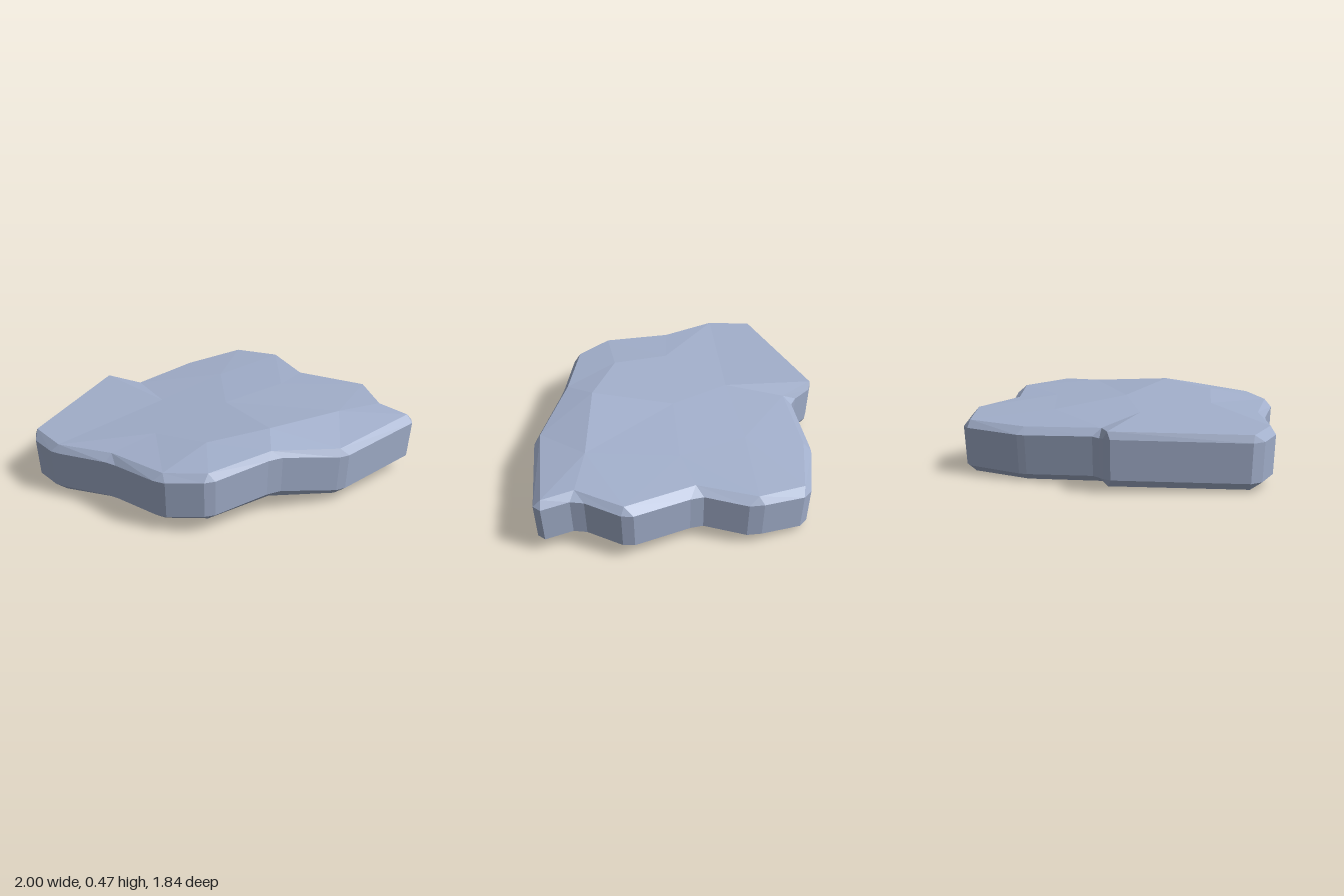
import * as THREE from 'three';

// Each corner of the slab: top inset x, z, height, then the two outer points x, z, x, z
const corners = [
  [-0.93, -0.64, 0.325, -0.93, -0.66, -0.98, -0.59],
  [-0.96, -0.37, 0.335, -1.0, -0.4, -0.98, -0.34],
  [-0.81, -0.04, 0.355, -0.86, -0.04, -0.84, 0.03],
  [-0.76, 0.37, 0.375, -0.81, 0.34, -0.78, 0.41],
  [-0.59, 0.57, 0.39, -0.63, 0.58, -0.57, 0.61],
  [-0.18, 0.67, 0.42, -0.22, 0.69, -0.13, 0.72],
  [0.22, 0.86, 0.36, 0.2, 0.88, 0.26, 0.9],
  [0.84, 0.875, 0.375, 0.84, 0.92, 0.88, 0.88],
  [0.8, 0.68, 0.395, 0.85, 0.71, 0.87, 0.63],
  [0.96, 0.41, 0.38, 0.99, 0.43, 1.0, 0.36],
  [0.81, -0.02, 0.365, 0.88, 0.02, 0.87, -0.06],
  [0.93, -0.37, 0.345, 0.96, -0.31, 0.96, -0.4],
  [0.84, -0.66, 0.315, 0.89, -0.65, 0.84, -0.7],
  [0.44, -0.74, 0.31, 0.47, -0.785, 0.42, -0.785],
  [-0.04, -0.71, 0.325, 0.0, -0.76, -0.06, -0.8],
  [-0.15, -0.91, 0.345, -0.12, -0.9, -0.17, -0.92],
];

// Inner points of the gently folded faces (x, z, height), and the highest central one
const inner = [
  [-0.15, -0.35, 0.365], [-0.5, 0.0, 0.39], [-0.4, 0.35, 0.43], [-0.04, 0.52, 0.46],
  [0.5, 0.6, 0.415], [0.56, 0.04, 0.385], [0.4, -0.38, 0.36],
];
const centre = [0.07, 0.02, 0.41];
// Inner point that each outline edge connects to
const apex = [0, 1, 1, 2, 2, 3, 4, 4, 4, 5, 5, 6, 6, 6, 0, 0];

const point = ([x, z, y], drop = 0, scale = 1) => [x * scale, y - drop, z * scale];

function geometryFrom(triangles) {
  const geometry = new THREE.BufferGeometry();
  geometry.setAttribute('position', new THREE.Float32BufferAttribute(triangles.flat(2), 3));
  geometry.computeVertexNormals();
  return geometry;
}

// Folded face joining the outline to the inner points
function face(drop, scale, flip) {
  const n = corners.length;
  const triangles = [];
  const add = (a, b, c) => {
    const [p, q, r] = [a, b, c].map((v) => point(v, drop, scale));
    triangles.push(flip ? [p, r, q] : [p, q, r]);
  };
  for (let i = 0; i < n; i++) {
    const j = (i + 1) % n;
    add(corners[i], corners[j], inner[apex[i]]);
    if (apex[i] !== apex[j]) add(corners[j], inner[apex[j]], inner[apex[i]]);
  }
  inner.forEach((p, i) => add(centre, p, inner[(i + 1) % inner.length]));
  return geometryFrom(triangles);
}

// Rings hold two points per corner, so the vertical edges are chamfered
const insetRing = (drop, scale) =>
  corners.flatMap((c) => [point(c, drop, scale), point(c, drop, scale)]);
const outerRing = (drop, scale) =>
  corners.flatMap(([, , y, ax, az, bx, bz]) => [
    point([ax, az, y], drop, scale), point([bx, bz, y], drop, scale),
  ]);

// Strip of faces between an upper and a lower ring
function band(upper, lower) {
  const triangles = [];
  const same = (a, b) => a.every((v, k) => v === b[k]);
  upper.forEach((a, i) => {
    const j = (i + 1) % upper.length;
    if (!same(lower[i], lower[j])) triangles.push([a, lower[i], lower[j]]);
    if (!same(a, upper[j])) triangles.push([a, lower[j], upper[j]]);
  });
  return geometryFrom(triangles);
}

export function createModel() {
  const group = new THREE.Group();
  group.name = 'stoneSlab';
  const stone = new THREE.MeshStandardMaterial({ color: 0xa2afcb });
  stone.name = 'blue grey stone';

  const top = insetRing(0, 1);
  const upper = outerRing(0.045, 1);
  const lower = outerRing(0.28, 0.985);
  const bottom = insetRing(0.32, 0.97);

  const parts = {
    topFace: face(0, 1, false),
    topBevel: band(top, upper),
    sideWall: band(upper, lower),
    bottomBevel: band(lower, bottom),
    underside: face(0.32, 0.97, true),
  };
  for (const [name, geometry] of Object.entries(parts)) {
    const mesh = new THREE.Mesh(geometry, stone);
    mesh.name = name;
    group.add(mesh);
  }

  // Rest the lowest corner on the ground
  const box = new THREE.Box3().setFromObject(group);
  group.position.y = -box.min.y;
  return group;
}
